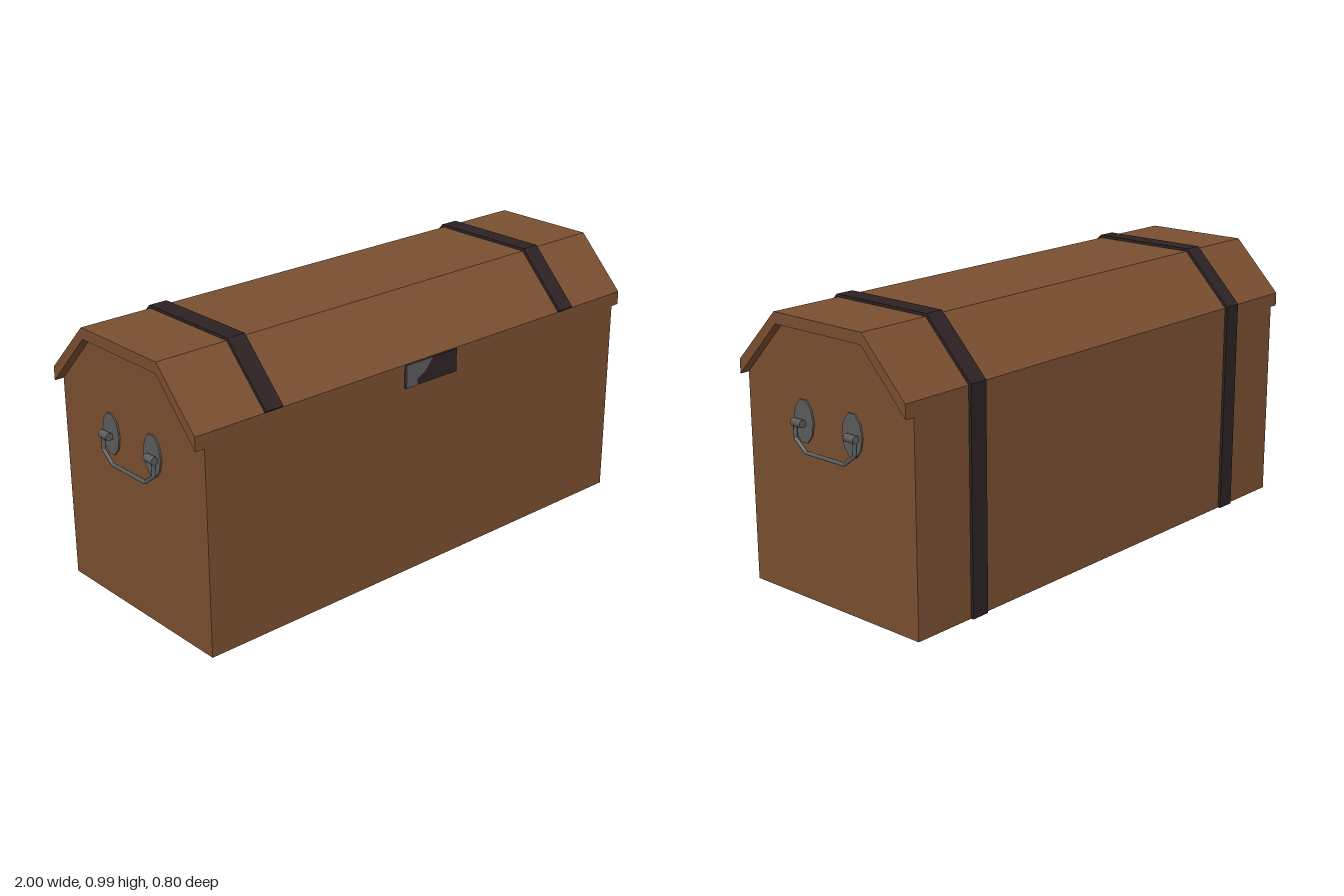
import * as THREE from 'three';

const mat = (name, color) => {
  const m = new THREE.MeshStandardMaterial({ color });
  m.name = name;
  return m;
};

// Extrudes a closed [z, y] outline along x, centred on x = cx
function extrudeX(name, outline, width, cx, material) {
  const shape = new THREE.Shape(outline.map(([z, y]) => new THREE.Vector2(-z, y)));
  const geo = new THREE.ExtrudeGeometry(shape, { depth: width, bevelEnabled: false });
  geo.rotateY(Math.PI / 2).translate(cx - width / 2, 0, 0);
  const mesh = new THREE.Mesh(geo, material);
  mesh.name = name;
  return mesh;
}

function add(parent, name, geo, material) {
  const mesh = new THREE.Mesh(geo, material);
  mesh.name = name;
  parent.add(mesh);
  return mesh;
}

// Carrying handle for the +x end
function makeHandle(metal) {
  const handle = new THREE.Group();
  for (const s of [-1, 1]) {
    // oval mounting plate
    const plate = new THREE.CylinderGeometry(1, 1, 0.007, 10);
    plate.rotateZ(-Math.PI / 2).scale(1, 0.076, 0.047).translate(0.9675, 0.625, s * 0.115);
    plate.computeVertexNormals();
    add(handle, 'handlePlate', plate, metal);
    // hinge knuckle and the arm holding it
    const knuckle = new THREE.CylinderGeometry(0.014, 0.014, 0.046, 10);
    knuckle.rotateX(Math.PI / 2).translate(0.985, 0.621, s * 0.126);
    add(handle, 'handleHinge', knuckle, metal);
    const arm = new THREE.BoxGeometry(0.018, 0.018, 0.036);
    arm.translate(0.975, 0.618, s * 0.122);
    add(handle, 'handleArm', arm, metal);
  }
  // bail with angled corners
  const pts = [[0.14, 0.62], [0.14, 0.565], [0.09, 0.527], [-0.09, 0.527], [-0.14, 0.565], [-0.14, 0.62]]
    .map(([z, y]) => new THREE.Vector3(0.985, y, z));
  const path = new THREE.CurvePath();
  for (let i = 1; i < pts.length; i++) path.add(new THREE.LineCurve3(pts[i - 1], pts[i]));
  add(handle, 'handleBail', new THREE.TubeGeometry(path, 60, 0.007, 8), metal);
  return handle;
}

export function createModel() {
  const wood = mat('brown wood', 0x7a4f30);
  const iron = mat('dark iron', 0x2d2224);
  const metal = mat('grey metal', 0x5c5c5c);
  const chest = new THREE.Group();
  chest.name = 'chest';

  // Body, its ends rising under the lid
  chest.add(extrudeX('body', [
    [0.39, 0], [0.39, 0.74], [0.2, 0.94], [-0.2, 0.94], [-0.39, 0.74], [-0.39, 0],
  ], 1.93, 0, wood));

  // Lid shell overhanging both ends
  chest.add(extrudeX('lid', [
    [0.39, 0.74], [0.39, 0.79], [0.205, 0.98], [-0.205, 0.98], [-0.39, 0.79],
    [-0.39, 0.74], [-0.2, 0.94], [0.2, 0.94],
  ], 2, 0, wood));

  // Straps over the lid and down the back
  for (const s of [-1, 1]) {
    chest.add(extrudeX('strap', [
      [0.39, 0.79], [0.397, 0.797], [0.21, 0.99], [-0.21, 0.99], [-0.4, 0.795], [-0.4, 0],
      [-0.39, 0], [-0.39, 0.79], [-0.205, 0.98], [0.205, 0.98],
    ], 0.07, s * 0.691, iron));
  }

  // Latch plate with a grey facing on one side
  const latch = new THREE.BoxGeometry(0.24, 0.084, 0.009);
  latch.translate(0, 0.748, 0.3945);
  add(chest, 'latchPlate', latch, iron);
  const facing = new THREE.Shape([
    [-0.12, 0.706], [-0.07, 0.706], [-0.07, 0.73], [-0.03, 0.75], [0, 0.785], [0, 0.79], [-0.12, 0.79],
  ].map(([x, y]) => new THREE.Vector2(x, y)));
  const facingGeo = new THREE.ExtrudeGeometry(facing, { depth: 0.002, bevelEnabled: false });
  facingGeo.translate(0, 0, 0.3985);
  add(chest, 'latchFacing', facingGeo, metal);

  // One handle on each end
  for (const side of ['left', 'right']) {
    const handle = makeHandle(metal);
    handle.name = side + 'Handle';
    if (side === 'right') handle.rotation.y = Math.PI;
    chest.add(handle);
  }
  return chest;
}
